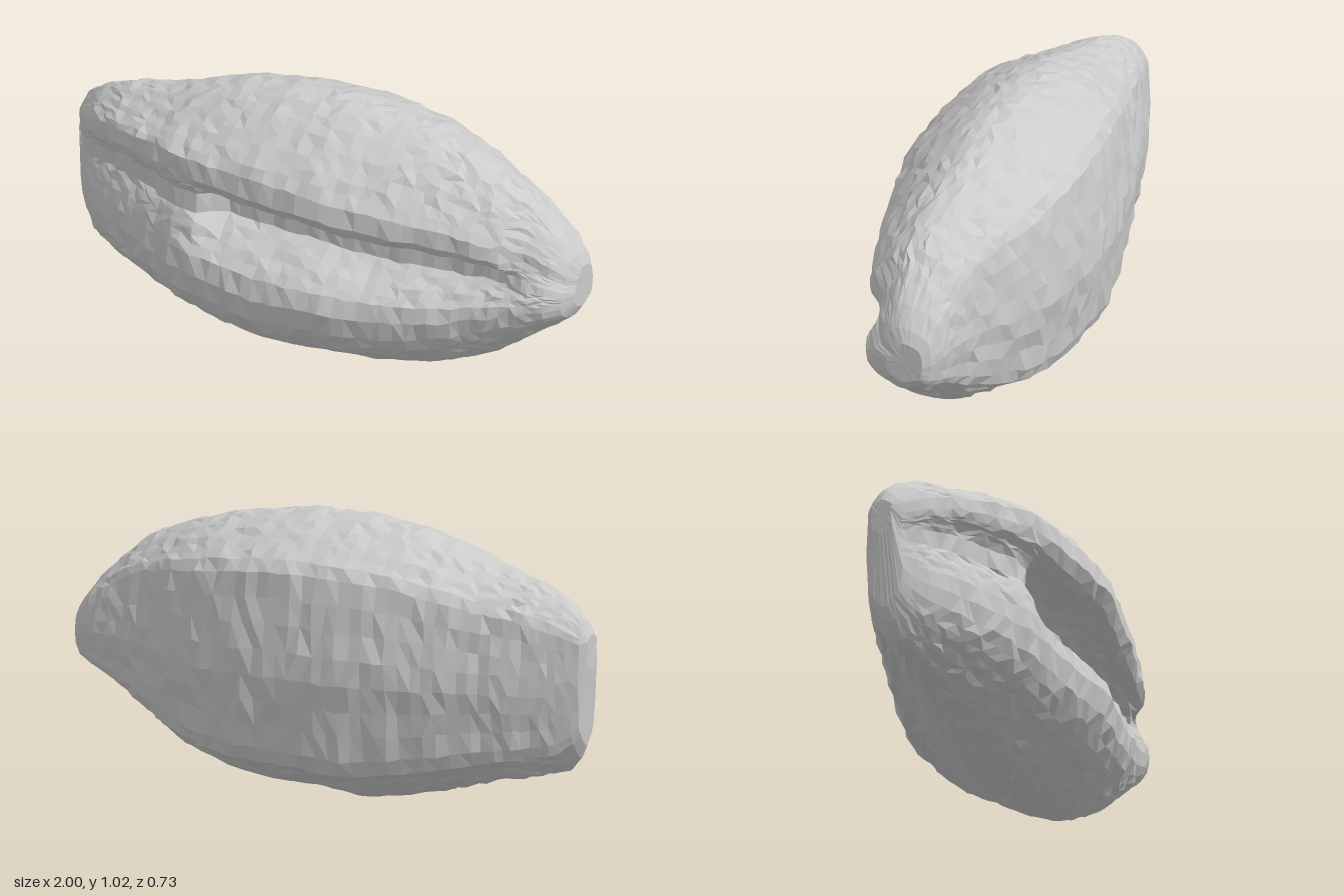
import * as THREE from 'three';

// Stations along the length: x, bottom, top, back z, front z, groove strength, groove lift
const STATIONS = [
  [-1.00, 0.56, 0.69, -0.09, -0.01, 0.2, 0.08],
  [-0.975, 0.26, 0.74, -0.12, 0.025, 0.35, 0.1],
  [-0.90, 0.18, 0.795, -0.145, 0.095, 0.45, 0.12],
  [-0.78, 0.145, 0.845, -0.185, 0.17, 0.5, 0.12],
  [-0.60, 0.105, 0.89, -0.235, 0.26, 0.45, 0.11],
  [-0.48, 0.07, 0.935, -0.275, 0.31, 0.3, 0.09],
  [-0.40, 0.05, 0.96, -0.295, 0.325, 0.4, 0.07],
  [-0.33, 0.03, 0.985, -0.315, 0.34, 0.95, 0.05],
  [-0.13, 0.0, 1.015, -0.355, 0.36, 0.95, 0.03],
  [0.10, 0.025, 1.02, -0.365, 0.365, 0.93, 0.01],
  [0.25, 0.03, 1.0, -0.355, 0.34, 0.93, 0],
  [0.40, 0.055, 0.975, -0.325, 0.31, 0.9, 0],
  [0.55, 0.105, 0.935, -0.27, 0.27, 0.9, 0],
  [0.72, 0.195, 0.87, -0.19, 0.225, 0.8, -0.01],
  [0.79, 0.25, 0.82, -0.17, 0.21, 0.65, -0.01],
  [0.86, 0.305, 0.76, -0.155, 0.19, 0.25, 0],
  [0.93, 0.35, 0.69, -0.14, 0.16, 0.1, 0],
  [0.98, 0.385, 0.62, -0.115, 0.11, 0, 0],
  [1.00, 0.42, 0.575, -0.09, 0.05, 0, 0],
];

// Kidney section (z, y), from the top over the grooved front to the flat back
const SECTION = [
  [0, 1], [0.28, 0.975], [0.62, 0.89], [0.87, 0.8], [0.97, 0.75], [1, 0.705], [0.93, 0.65],
  [0.6, 0.6], [0.4, 0.55], [0.39, 0.5], [0.58, 0.45], [0.8, 0.4], [0.94, 0.35],
  [0.97, 0.28], [0.84, 0.17], [0.55, 0.08], [0.08, 0], [-0.3, 0.03], [-0.62, 0.1],
  [-0.86, 0.15], [-0.93, 0.3], [-1, 0.5], [-0.94, 0.68], [-0.86, 0.84], [-0.68, 0.9], [-0.3, 0.975],
];

// Seeded random number in -1..1
function makeRandom(seed) {
  return () => {
    seed = (seed * 16807) % 2147483647;
    return (seed / 2147483647) * 2 - 1;
  };
}

// Linear lookup of every station value at x
function stationAt(x) {
  let i = 0;
  while (i < STATIONS.length - 2 && x > STATIONS[i + 1][0]) i++;
  const a = STATIONS[i], b = STATIONS[i + 1];
  const t = (x - a[0]) / (b[0] - a[0]);
  return a.map((v, k) => THREE.MathUtils.lerp(v, b[k], t));
}

function buildBody() {
  const { lerp, smoothstep } = THREE.MathUtils;
  const rings = 54, sides = 60;
  const random = makeRandom(4711);
  const curve = new THREE.CatmullRomCurve3(
    SECTION.map(([z, y]) => new THREE.Vector3(0, y, z)), true, 'centripetal');
  const outline = curve.getSpacedPoints(sides).slice(0, sides);
  const positions = [], index = [];

  // Rings, packed closer towards both ends
  for (let i = 0; i <= rings; i++) {
    const s = (i / rings) * 2 - 1;
    const x = 0.6 * s + 0.4 * Math.sin(s * Math.PI / 2);
    const [, bottom, top, back, front, groove, lift] = stationAt(x);
    const middle = (back + front) / 2, half = (front - back) / 2;
    const rough = 0.007 * Math.min(1, (1 - Math.abs(x)) * 4 + 0.1);
    for (const p of outline) {
      let u = p.z, v = p.y;
      if (u > 0) {
        // Groove depth and height
        if (v > 0.3 && v < 0.7) u = lerp(0.97, u, groove);
        v += lift * smoothstep(v, 0.25, 0.55) * (1 - smoothstep(v, 0.72, 1));
        // Upper lip ends short of the right tip
        u *= 1 - 0.35 * smoothstep(x, 0.77, 0.84) * smoothstep(v, 0.5, 0.68);
      }
      positions.push(
        x + random() * rough,
        lerp(bottom, top, v) + random() * rough * 0.7,
        middle + u * half + random() * rough);
    }
  }

  // Skin between neighbouring rings
  for (let i = 0; i < rings; i++) {
    for (let j = 0; j < sides; j++) {
      const k = (j + 1) % sides;
      const a = i * sides + j, b = i * sides + k, c = a + sides, d = b + sides;
      if (random() > 0) index.push(a, b, c, b, d, c);
      else index.push(a, b, d, a, d, c);
    }
  }

  // Blunt end caps
  for (const [ring, flip] of [[0, true], [rings, false]]) {
    const centre = positions.length / 3;
    const [x, bottom, top, back, front] = ring ? STATIONS[STATIONS.length - 1] : STATIONS[0];
    positions.push(x, (bottom + top) / 2, (back + front) / 2);
    for (let j = 0; j < sides; j++) {
      const a = ring * sides + j, b = ring * sides + (j + 1) % sides;
      index.push(centre, flip ? b : a, flip ? a : b);
    }
  }

  const geometry = new THREE.BufferGeometry();
  geometry.setAttribute('position', new THREE.Float32BufferAttribute(positions, 3));
  geometry.setIndex(index);
  geometry.computeVertexNormals();
  return geometry;
}

export function createModel() {
  const group = new THREE.Group();
  group.name = 'splitLoaf';
  const body = new THREE.Mesh(
    buildBody(), new THREE.MeshStandardMaterial({ color: 0xcccccc, flatShading: true }));
  body.name = 'groovedBody';
  group.add(body);
  return group;
}
